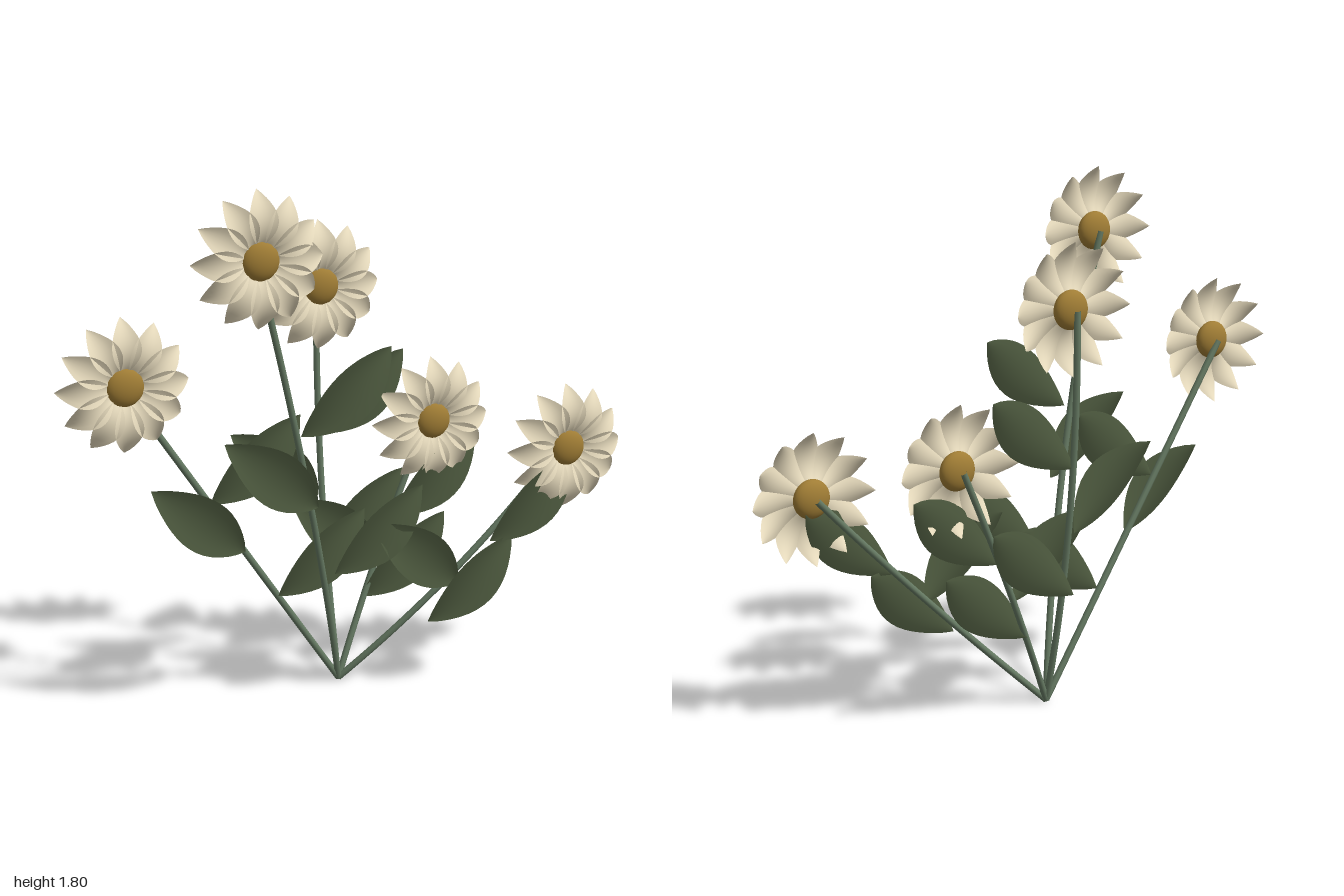
import * as THREE from 'three';

const mat = (color) => new THREE.MeshStandardMaterial({ color, side: THREE.DoubleSide });
const petalMat = mat(0xe8dcbe), discMat = mat(0xa07d35);
const stemMat = mat(0x667a63), leafMat = mat(0x4a563c);

// Pointed blade growing along +y from the origin, arched towards +z, edges cupped forward
function blade(length, width, power, depthAt, cup) {
  const geo = new THREE.PlaneGeometry(1, 1, 6, 14);
  const p = geo.attributes.position;
  for (let i = 0; i < p.count; i++) {
    const t = p.getY(i) + 0.5, u = p.getX(i) * 2;
    const w = Math.pow(Math.max(0, Math.sin(Math.PI * t)), power);
    p.setXYZ(i, u * w * width / 2, t * length, depthAt(t) + cup * u * u * w);
  }
  geo.computeVertexNormals();
  return geo;
}

const petalGeo = blade(0.183, 0.097, 0.85, (t) => 0.032 + 0.14 * t - 0.16 * t * t, 0.014);
const leafGeo = blade(0.425, 0.18, 0.85, (t) => 0.12 * t * (1 - t), 0.022);
const discGeo = new THREE.SphereGeometry(0.066, 24, 16).scale(1, 1, 0.54);

function add(parent, name, geo, material) {
  const mesh = new THREE.Mesh(geo, material);
  mesh.name = name;
  parent.add(mesh);
  return mesh;
}

// Flower head: domed centre ringed by twelve arched petals
function flowerHead() {
  const head = new THREE.Group();
  head.name = 'flowerHead';
  add(head, 'flowerCentre', discGeo, discMat).position.z = 0.034;
  const ring = new THREE.Group();
  ring.name = 'petals';
  ring.rotation.y = -0.06;
  for (let i = 0; i < 12; i++) {
    const arm = new THREE.Group();
    arm.rotation.z = i * Math.PI / 6;
    add(arm, 'petal', petalGeo, petalMat).position.y = 0.04;
    ring.add(arm);
  }
  head.add(ring);
  return head;
}

// Stem that bends to the depth of its flower, with three alternating leaves
function flower(x, y, z) {
  const plant = new THREE.Group();
  plant.name = 'flower';
  const path = new THREE.QuadraticBezierCurve3(
    new THREE.Vector3(0, 0.005, -0.055),
    new THREE.Vector3(x / 2, y / 2, z + Math.sign(z + 0.055) * 0.012),
    new THREE.Vector3(x, y, z));
  add(plant, 'stem', new THREE.TubeGeometry(path, 24, 0.0115, 8), stemMat);

  [0.305, 0.46, 0.62].forEach((f, i) => {
    const leaf = add(plant, 'leaf', leafGeo, leafMat);
    leaf.position.set(x * f, y * f, z + 0.012);
    leaf.rotation.z = (i % 2 ? 1 : -1) * 0.9;
  });

  const head = flowerHead();
  head.position.set(x, y, z);
  plant.add(head);
  return plant;
}

export function createModel() {
  const model = new THREE.Group();
  model.name = 'flowerBunch';
  const tops = [
    [-0.388, 1.572, 0.135], [0, 1.385, -0.215], [-0.776, 1.17, -0.055],
    [0.386, 0.888, -0.115], [0.775, 0.805, 0.145],
  ];
  for (const [x, y, z] of tops) model.add(flower(x, y, z));
  return model;
}
